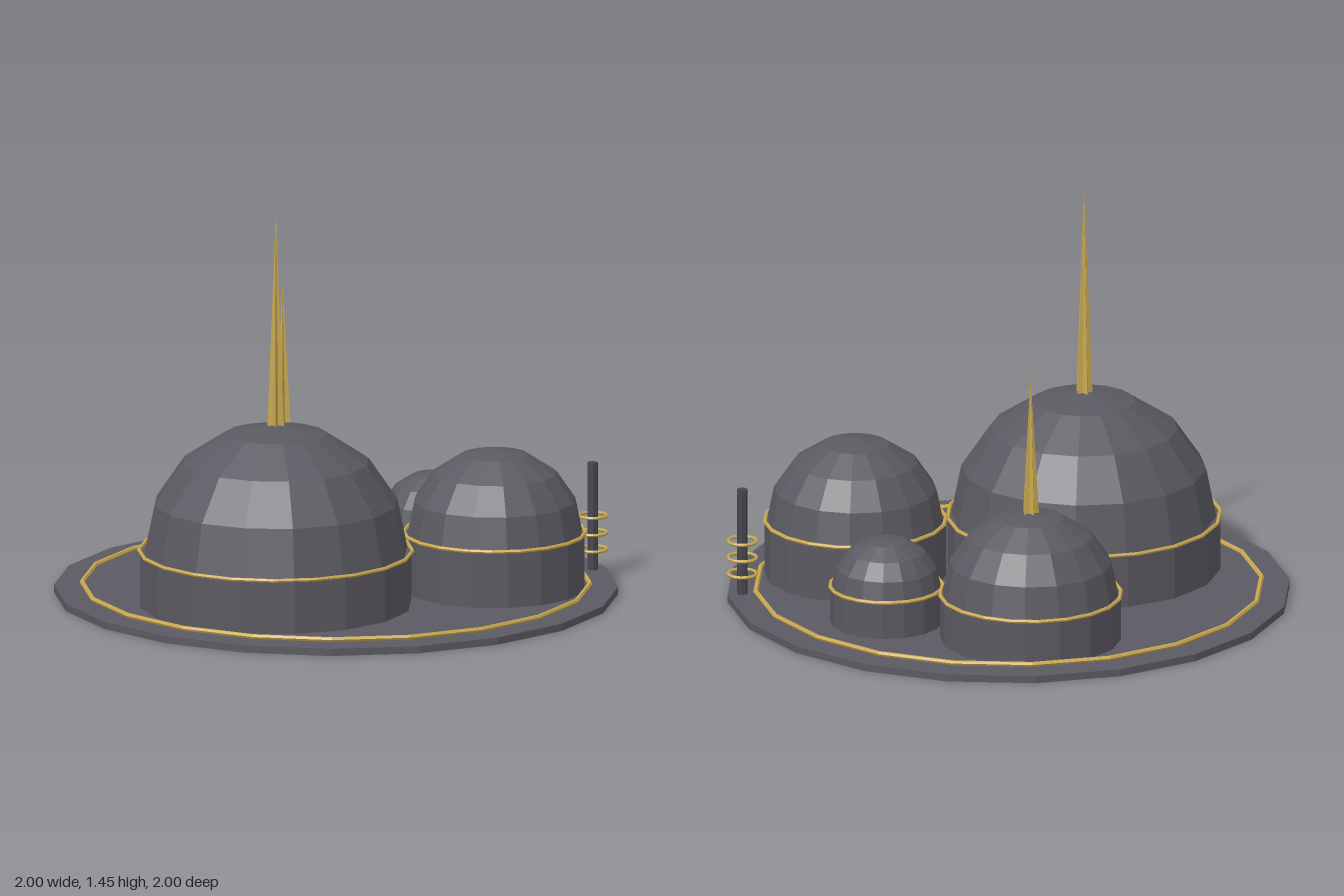
import * as THREE from 'three';

export function createModel() {
  const root = new THREE.Group();
  root.name = 'domedBase';
  const material = (name, color, flat = true) => {
    const m = new THREE.MeshStandardMaterial({ color, flatShading: flat });
    m.name = name;
    return m;
  };
  const stone = material('stone grey', 0x5b5961);
  const gold = material('gold', 0xc9a850);
  const iron = material('dark iron', 0x46464e);

  const add = (parent, name, geometry, mat, x, y, z) => {
    const mesh = new THREE.Mesh(geometry, mat);
    mesh.name = name;
    mesh.position.set(x, y, z);
    parent.add(mesh);
    return mesh;
  };
  // Horizontal gold hoop
  const hoop = (parent, name, r, tube, sides, x, y, z) =>
    add(parent, name, new THREE.TorusGeometry(r, tube, 6, sides).rotateX(Math.PI / 2), gold, x, y, z);

  // Spire tapering to a point, with a five-pointed star as its section
  const spireGeometry = (r, h) => {
    const g = new THREE.ConeGeometry(r, h, 10, 1);
    const p = g.attributes.position;
    for (let i = 0; i < p.count; i++) {
      const a = Math.atan2(p.getX(i), p.getZ(i));
      const step = Math.round(a / (Math.PI / 5)) + 10;
      if (step % 2) {
        p.setX(i, p.getX(i) * 0.5);
        p.setZ(i, p.getZ(i) * 0.5);
      }
    }
    g.rotateY(Math.PI);
    return g;
  };

  // Round platform with its inlaid ring
  const baseHeight = 0.026;
  add(root, 'platform', new THREE.CylinderGeometry(1, 1, baseHeight, 20), stone, 0, baseHeight / 2, 0);
  hoop(root, 'platformRing', 0.9, 0.009, 20, 0, 0.037, 0);

  // Domed halls: drum, hoop, dome and an optional spire
  const halls = [
    { name: 'mainHall', x: 0, z: 0.355, r: 0.485, drum: 0.22, top: 0.68, tip: 1.45 },
    { name: 'rightHall', x: -0.47, z: -0.31, r: 0.322, drum: 0.19, top: 0.495, tip: 1.0 },
    { name: 'leftHall', x: 0.47, z: -0.31, r: 0.322, drum: 0.23, top: 0.535 },
    { name: 'backHall', x: 0, z: -0.577, r: 0.2, drum: 0.16, top: 0.34 },
  ];
  for (const h of halls) {
    const hall = new THREE.Group();
    hall.name = h.name;
    hall.position.set(h.x, 0, h.z);
    root.add(hall);
    const low = 0.02;
    add(hall, 'drum', new THREE.CylinderGeometry(h.r, h.r, h.drum - low, 16), stone, 0, (h.drum + low) / 2, 0);
    hoop(hall, 'drumHoop', h.r, 0.007, 20, 0, h.drum, 0);
    const dome = add(hall, 'dome',
      new THREE.SphereGeometry(h.r * 0.97, 16, 4, 0, Math.PI * 2, 0, Math.PI / 2), stone, 0, h.drum, 0);
    dome.scale.y = (h.top - h.drum) / (h.r * 0.97);
    if (h.tip) {
      const start = h.top - 0.02;
      add(hall, 'spire', spireGeometry(0.031, h.tip - start), gold, 0, (h.tip + start) / 2, 0);
    }
  }

  // Mast at the rim, circled by three hoops
  const mast = new THREE.Group();
  mast.name = 'mast';
  mast.position.set(0.57, 0, -0.755);
  root.add(mast);
  add(mast, 'pole', new THREE.CylinderGeometry(0.019, 0.019, 0.395, 8), iron, 0, 0.2175, 0);
  for (const y of [0.1, 0.16, 0.222]) hoop(mast, 'mastHoop', 0.051, 0.006, 14, 0, y, 0);

  return root;
}
